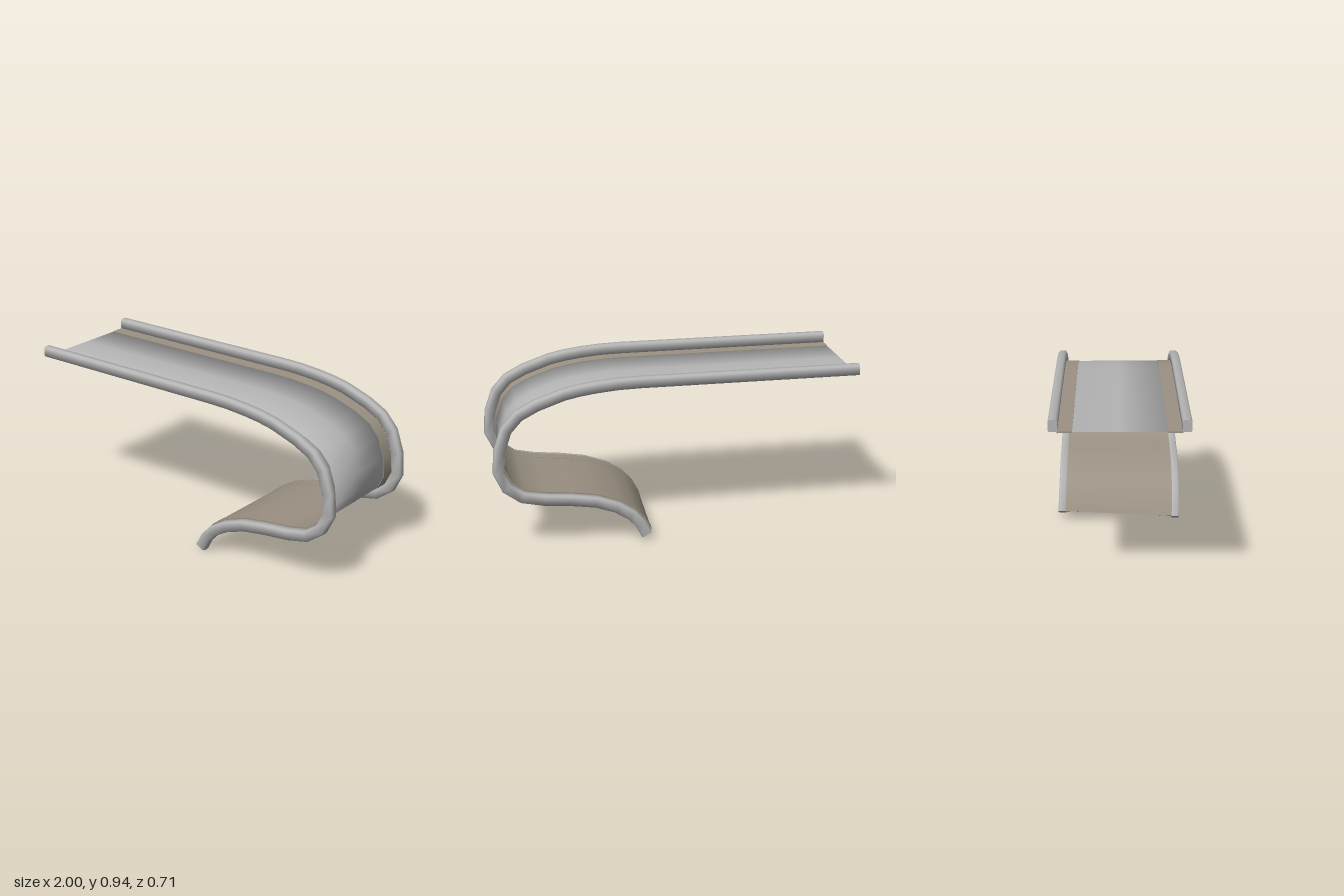
import * as THREE from 'three';

const gray = new THREE.MeshStandardMaterial({ color: 0xb4b4b4 });
gray.name = 'brushed gray';
const tan = new THREE.MeshStandardMaterial({ color: 0x9c9284 });
tan.name = 'warm tan';

// Side path of the rail centres: flat run, turn, and curled lower leg
const path = [
  [-1, 0.91], [-0.4, 0.91], [0.2, 0.91], [0.32, 0.907], [0.435, 0.897], [0.53, 0.884],
  [0.615, 0.866], [0.76, 0.815], [0.855, 0.765], [0.921, 0.69], [0.961, 0.572],
  [0.97, 0.455], [0.924, 0.361], [0.838, 0.298], [0.72, 0.272], [0.57, 0.256],
  [0.43, 0.233], [0.31, 0.19], [0.23, 0.14], [0.178, 0.085], [0.14, 0.015],
].map(([x, y]) => new THREE.Vector2(x, y));

// One frame per path point; the lower leg skews gradually across its width
const frames = path.map((p, i) => {
  const last = path.length - 1;
  const before = p.clone().sub(path[Math.max(i - 1, 0)]).normalize();
  const after = path[Math.min(i + 1, last)].clone().sub(p).normalize();
  const t = before.clone().add(after).normalize();
  const k = Math.max(0, (i - 11) / (last - 11));
  return {
    origin: new THREE.Vector3(p.x + 0.0175 * k, p.y + 0.01 * k, 0.006 * Math.sin(Math.PI * k)),
    tangent: new THREE.Vector3(t.x, t.y, 0),
    up: new THREE.Vector3(-t.y, t.x, 0),
    across: new THREE.Vector3(-0.053 * k, -0.03 * k, 1),
  };
});

// Sweeps a profile of [across, up, normalAcross, normalUp] along the path
function sweep(name, material, profile, closed) {
  const pos = [], nor = [], idx = [];
  const n = profile.length;
  const add = (f, [w, u], normal) => {
    const v = f.origin.clone().addScaledVector(f.across, w).addScaledVector(f.up, u);
    pos.push(v.x, v.y, v.z);
    nor.push(normal.x, normal.y, normal.z);
  };
  for (const f of frames) {
    for (const p of profile) {
      add(f, p, f.across.clone().multiplyScalar(p[2]).addScaledVector(f.up, p[3]).normalize());
    }
  }
  for (let i = 0; i < frames.length - 1; i++) {
    for (let j = 0; j < (closed ? n : n - 1); j++) {
      const a = i * n + j, b = i * n + (j + 1) % n;
      idx.push(a, b, b + n, a, b + n, a + n);
    }
  }
  // Flat end caps
  if (closed) {
    for (const end of [false, true]) {
      const f = frames[end ? frames.length - 1 : 0];
      const base = pos.length / 3;
      const normal = f.tangent.clone().multiplyScalar(end ? 1 : -1);
      profile.forEach((p) => add(f, p, normal));
      for (let j = 1; j < n - 1; j++) {
        if (end) idx.push(base, base + j, base + j + 1);
        else idx.push(base, base + j + 1, base + j);
      }
    }
  }
  const geo = new THREE.BufferGeometry();
  geo.setAttribute('position', new THREE.Float32BufferAttribute(pos, 3));
  geo.setAttribute('normal', new THREE.Float32BufferAttribute(nor, 3));
  geo.setIndex(idx);
  const mesh = new THREE.Mesh(geo, material);
  mesh.name = name;
  return mesh;
}

const mirror = (profile) => profile.map(([w, u, a, b]) => [-w, u, -a, b]).reverse();

export function createModel() {
  const group = new THREE.Group();
  group.name = 'curvedChute';

  // Side rail: upright bar with softened corners
  const rail = [
    [0.305, 0.022, -0.8, 0.6], [0.313, 0.03, -0.4, 0.9], [0.343, 0.03, 0.4, 0.9],
    [0.351, 0.022, 0.8, 0.6], [0.351, -0.024, 0.8, -0.6], [0.345, -0.03, 0.4, -0.9],
    [0.311, -0.03, -0.4, -0.9], [0.305, -0.024, -0.8, -0.6],
  ];

  // Edge strip: thin slab between rail and belt, hard edges from doubled corners
  const [w0, w1, u0, u1] = [0.233, 0.308, -0.036, -0.028];
  const strip = [
    [w0, u1, 0, 1], [w1, u1, 0, 1], [w1, u1, 1, 0], [w1, u0, 1, 0],
    [w1, u0, 0, -1], [w0, u0, 0, -1], [w0, u0, -1, 0], [w0, u1, -1, 0],
  ];

  for (const [side, place] of [['left', (p) => p], ['right', mirror]]) {
    // The front faces +z, so the near side at +z is named front
    const label = side === 'left' ? 'front' : 'back';
    group.add(sweep(label + 'Rail', gray, place(rail), true));
    group.add(sweep(label + 'EdgeStrip', tan, place(strip), true));
  }

  // Belt: gray running face with softly rounded shading, tan underside
  group.add(sweep('beltFace', gray, [
    [-0.235, -0.031, -0.7, 0.7], [0, -0.031, 0, 1], [0.235, -0.031, 0.7, 0.7],
  ], false));
  group.add(sweep('beltUnderside', tan, [
    [0.235, -0.034, 0, -1], [-0.235, -0.034, 0, -1],
  ], false));
  return group;
}
